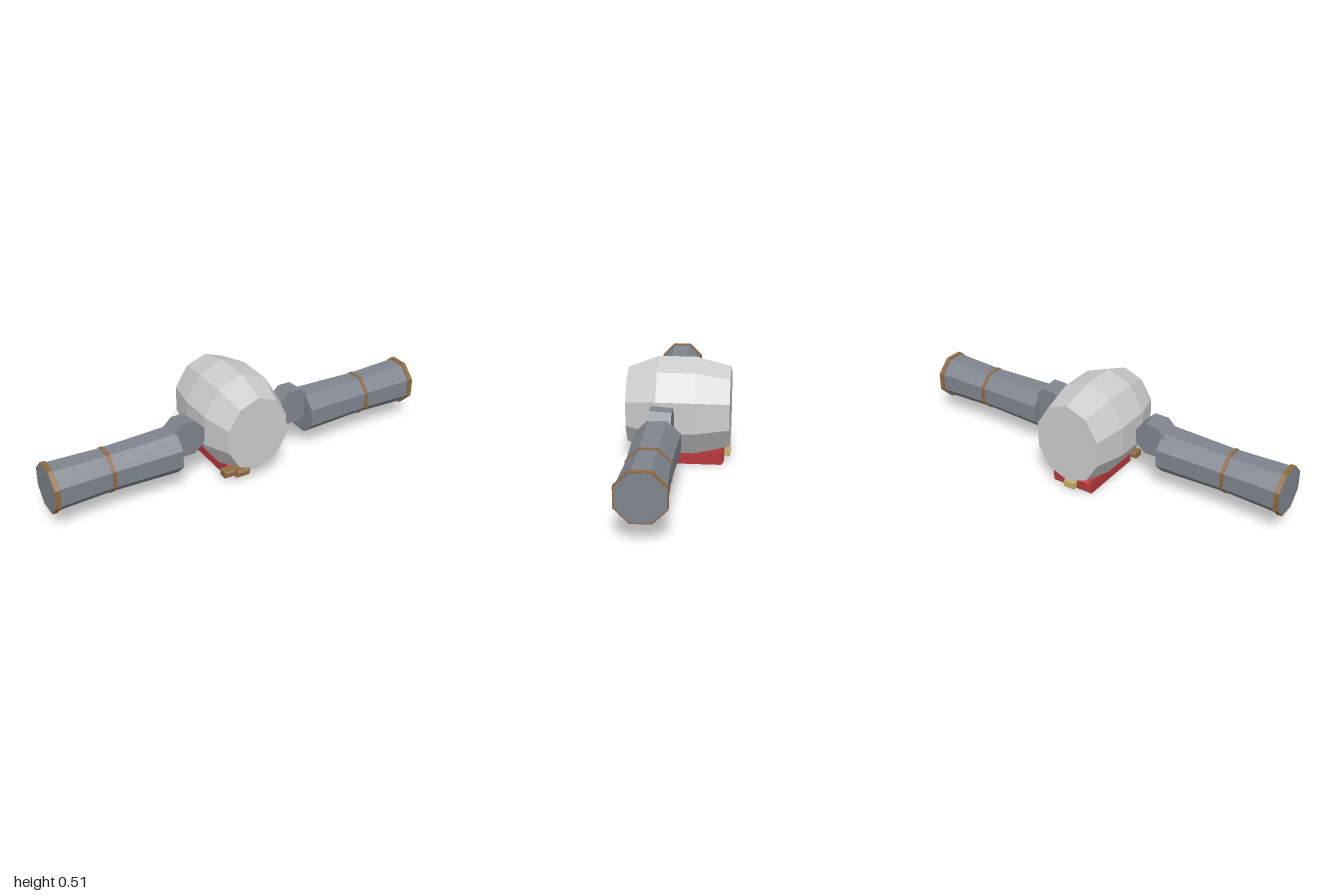
import * as THREE from 'three';

const paint = (color) => new THREE.MeshStandardMaterial({ color, flatShading: true, roughness: 0.8 });

// Closed faceted solid of revolution; profile is a list of [radius, height]
function turned(profile, sides, phase = 0) {
  const first = profile[0], last = profile[profile.length - 1];
  const points = [[0, first[1]], ...profile, [0, last[1]]].map(([r, h]) => new THREE.Vector2(r, h));
  return new THREE.LatheGeometry(points, sides, phase);
}

// Octagon sized by half the distance between its flats
function octagonal(profile) {
  const k = 1 / Math.cos(Math.PI / 8);
  return turned(profile.map(([a, h]) => [a * k, h]), 8, Math.PI / 8);
}

// Box with chamfered edges, lying along z
function chamferedBox(w, h, d, c) {
  const x = w / 2 - c, y = h / 2 - c;
  const shape = new THREE.Shape([
    new THREE.Vector2(-x, -y), new THREE.Vector2(x, -y),
    new THREE.Vector2(x, y), new THREE.Vector2(-x, y),
  ]);
  const geo = new THREE.ExtrudeGeometry(shape, {
    depth: d - 2 * c, bevelEnabled: true, bevelSize: c, bevelThickness: c, bevelSegments: 1,
  });
  return geo.translate(0, 0, -(d / 2 - c));
}

export function createModel() {
  const model = new THREE.Group();
  model.name = 'model';
  const shell = paint(0xcccccc), metal = paint(0x7f848e), brass = paint(0x8f6a42);
  const red = paint(0xb5383d), yellow = paint(0xc8b06a);

  const add = (parent, name, geo, mat, x = 0, y = 0, z = 0) => {
    const mesh = new THREE.Mesh(geo, mat);
    mesh.name = name;
    mesh.position.set(x, y, z);
    parent.add(mesh);
    return mesh;
  };

  // Ten-sided barrel body along z
  const barrel = turned([[0.208, -0.25], [0.25, -0.08], [0.25, 0.1], [0.193, 0.25]], 10);
  barrel.rotateX(Math.PI / 2).scale(0.862, 1, 1);
  add(model, 'body', barrel, shell, 0, 0.264, 0);

  for (const side of [1, -1]) {
    const label = side > 0 ? 'left' : 'right';

    // Shoulder hub between body and arm
    const hub = octagonal([[0.081, -0.052], [0.089, 0.052]]).rotateX(Math.PI / 2);
    add(model, label + 'Hub', hub, metal, side * 0.303, 0.257, 0.062);

    // Arm tube with two bands, height axis turned outwards
    const arm = new THREE.Group();
    arm.name = label + 'Arm';
    arm.position.set(0, 0.202, 0.072);
    arm.rotation.z = -side * Math.PI / 2;
    add(arm, 'tube', octagonal([[0.107, 0.362], [0.098, 0.71], [0.107, 1]]), metal);
    add(arm, 'middleBand', octagonal([[0.102, 0.7], [0.102, 0.718]]), brass);
    add(arm, 'endBand', octagonal([[0.113, 0.975], [0.113, 0.999]]), brass);
    model.add(arm);
  }

  // Chamfered base slung under the body
  add(model, 'base', chamferedBox(0.224, 0.067, 0.374, 0.011), red, 0, 0.0335, -0.035);

  // Small fittings at the two ends of the base
  add(model, 'rearLatch', new THREE.BoxGeometry(0.06, 0.034, 0.05), yellow, -0.005, 0.032, -0.225);
  add(model, 'frontPlug', chamferedBox(0.075, 0.038, 0.08, 0.01), brass, -0.052, 0.037, 0.175);
  add(model, 'frontLug', chamferedBox(0.06, 0.034, 0.06, 0.008), brass, -0.115, 0.04, 0.165);

  return model;
}
